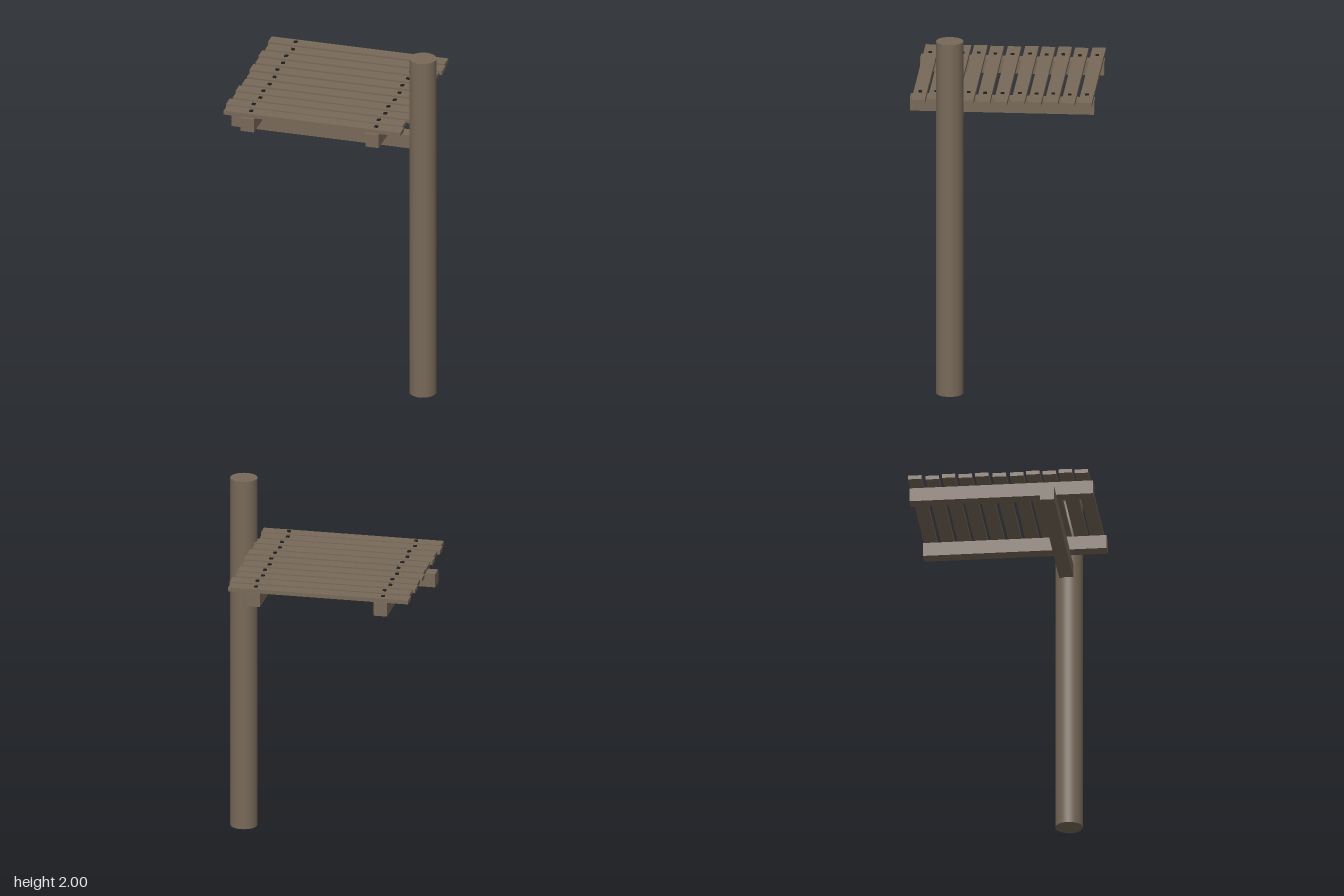
import * as THREE from 'three';

export function createModel() {
  const model = new THREE.Group();
  const wood = new THREE.MeshStandardMaterial({ color: 0x786959 });
  wood.name = 'weatheredWood';
  const iron = new THREE.MeshStandardMaterial({ color: 0x1e1e1e });
  iron.name = 'darkIron';

  const add = (name, geometry, material, x, y, z, parent = model) => {
    const mesh = new THREE.Mesh(geometry, material);
    mesh.name = name;
    mesh.position.set(x, y, z);
    parent.add(mesh);
    return mesh;
  };

  // Tall round post
  add('post', new THREE.CylinderGeometry(0.074, 0.074, 2, 32), wood, 0.5, 1, 0.27);

  // Beam reaching out of the post
  add('supportBeam', new THREE.BoxGeometry(1.042, 0.077, 0.077), wood, -0.051, 1.5035, 0.261);

  // Two joists resting on the beam
  const joist = new THREE.BoxGeometry(0.075, 0.077, 1);
  add('rightJoist', joist, wood, -0.425, 1.5805, 0);
  add('leftJoist', joist, wood, 0.28, 1.5805, 0);

  // Unevenly laid planks [x, z], each held by two nails
  const plank = new THREE.BoxGeometry(0.998, 0.022, 0.073);
  const nail = new THREE.BoxGeometry(0.019, 0.012, 0.019);
  const layout = [
    [-0.079, -0.459], [-0.067, -0.366], [-0.079, -0.275], [-0.07, -0.185],
    [-0.076, -0.094], [-0.064, 0], [-0.064, 0.094], [-0.073, 0.184],
    [-0.064, 0.272], [-0.076, 0.361], [-0.064, 0.447],
  ];
  for (const [x, z] of layout) {
    const row = new THREE.Group();
    row.name = 'plankWithNails';
    row.position.set(x, 1.63, z);
    model.add(row);
    add('plank', plank, wood, 0, 0, 0, row);
    for (const side of [-1, 1]) add('nail', nail, iron, side * 0.353, 0.011, 0, row);
  }
  return model;
}
